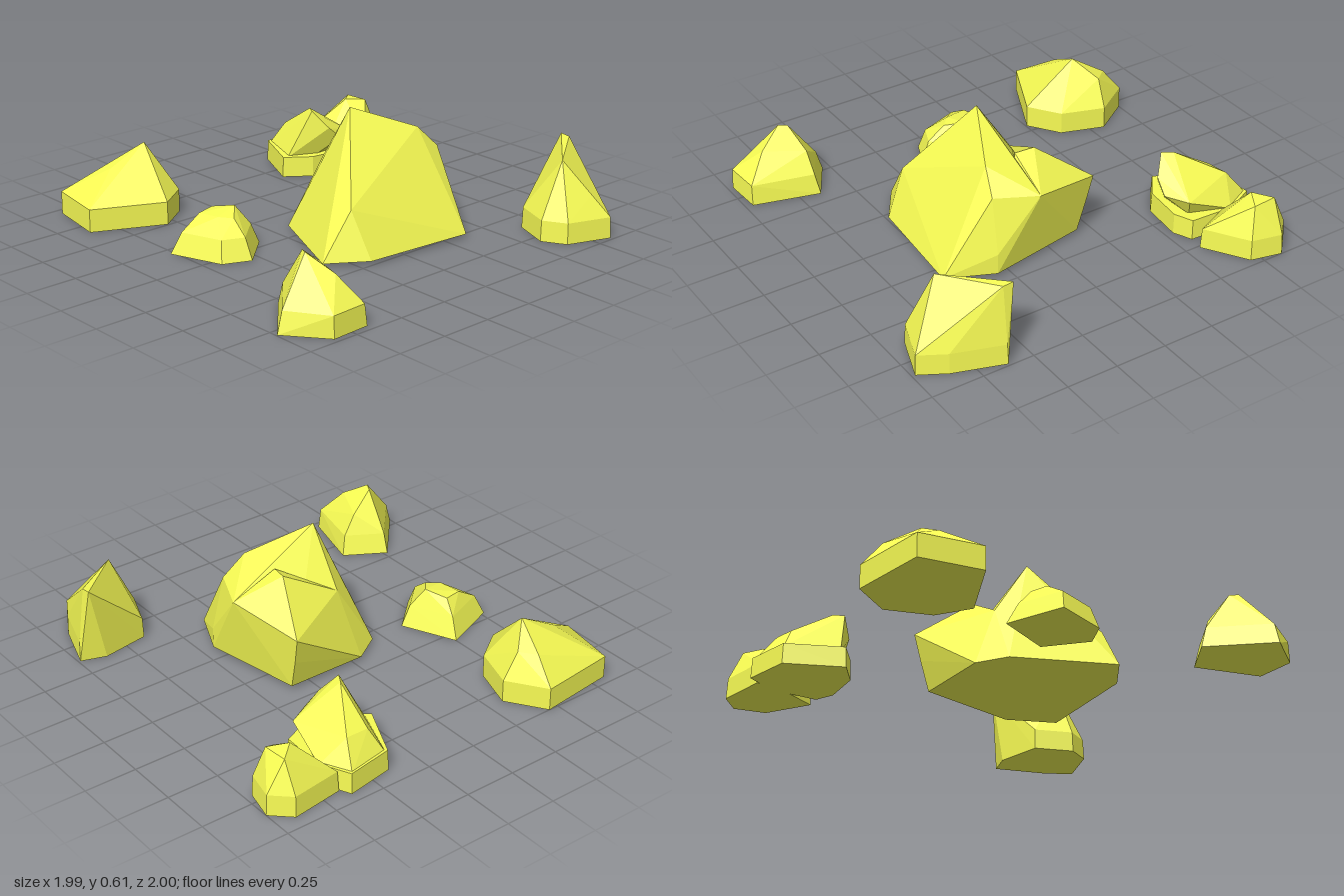
import * as THREE from 'three';
import { ConvexGeometry } from 'three/addons/geometries/ConvexGeometry.js';

const stone = new THREE.MeshStandardMaterial({ color: 0xf8fc54, flatShading: true });

function hull(name, points) {
  const mesh = new THREE.Mesh(new ConvexGeometry(points.map((p) => new THREE.Vector3(...p))), stone);
  mesh.name = name;
  return mesh;
}

// A faceted stone: ground outline [x, z], the same outline drawn in at rim height, then crown points
function rock(name, { outline, rim = 0.1, inset = 0.96, crown = [] }) {
  const cx = outline.reduce((s, p) => s + p[0], 0) / outline.length;
  const cz = outline.reduce((s, p) => s + p[1], 0) / outline.length;
  const points = [...crown];
  for (const [x, z] of outline) {
    points.push([x, 0, z], [cx + (x - cx) * inset, rim, cz + (z - cz) * inset]);
  }
  return hull(name, points);
}

// Large central boulder: three lobes that meet in a valley behind the summit
function createBoulder() {
  const peak = [0.14, 0.605, 0];
  const valley = [0.125, 0.42, -0.28];
  const back = [0.11, 0.37, -0.475];
  const frontLeft = [0.4, 0.24, 0.23];
  const frontRight = [-0.04, 0.33, 0];
  const footRight = [-0.08, 0.02, 0.18];
  const footFront = [0.38, 0.02, 0.38];
  const footLeft = [0.5, 0.02, 0.2];
  const footBackLeft = [0.545, 0.02, -0.35];
  const footBack = [0.32, 0.02, -0.45];
  const footBackRight = [-0.17, 0.02, -0.36];
  const footSide = [-0.17, 0.02, 0.04];

  const boulder = new THREE.Group();
  boulder.name = 'boulder';
  boulder.add(
    hull('boulderSummit', [peak, valley, back, frontLeft, frontRight, footRight, footFront, footLeft,
      footBackLeft, footBack, footBackRight, footSide]),
    hull('boulderLeftLobe', [peak, valley, back, [0.28, 0.485, -0.29], [0.31, 0.38, -0.39], [0.32, 0.12, -0.45],
      frontLeft, footFront, footLeft, footBackLeft, footBack]),
    hull('boulderRightLobe', [[0.01, 0.48, -0.27], [0.1, 0.47, -0.25], valley, back, frontRight, [-0.24, 0.3, -0.38],
      [-0.21, 0.17, -0.37], footRight, footSide, footBackRight]),
  );
  return boulder;
}

export function createModel() {
  const group = new THREE.Group();
  group.name = 'rockCluster';
  group.add(createBoulder());

  // Front rocks
  group.add(rock('frontRightRock', {
    outline: [[-1, 0.45], [-0.82, 0.33], [-0.61, 0.4], [-0.505, 0.55], [-0.66, 0.88], [-0.955, 0.83]],
    rim: 0.11,
    inset: 1,
    crown: [[-0.74, 0.335, 0.5], [-0.9, 0.235, 0.46], [-0.83, 0.24, 0.4], [-0.84, 0.24, 0.54], [-0.76, 0.24, 0.68]],
  }));
  group.add(rock('frontMiddleRock', {
    outline: [[-0.31, 0.5], [-0.05, 0.38], [0.105, 0.55], [0.05, 0.68], [-0.2, 0.77]],
    inset: 0.78,
    crown: [[-0.2, 0.17, 0.53], [-0.1, 0.19, 0.48], [-0.02, 0.165, 0.55], [-0.18, 0.165, 0.62], [-0.07, 0.17, 0.6]],
  }));
  group.add(rock('frontLeftRock', {
    outline: [[0.535, 0.77], [0.65, 0.575], [0.965, 0.66], [0.975, 0.85], [0.79, 0.995]],
    inset: 0.88,
    crown: [[0.7, 0.29, 0.78], [0.74, 0.295, 0.8], [0.86, 0.22, 0.74], [0.67, 0.2, 0.66], [0.97, 0.1, 0.85],
      [0.96, 0.1, 0.67], [0.79, 0.1, 0.965]],
  }));

  // Back rocks
  group.add(rock('backLeftRock', {
    outline: [[0.58, -0.87], [0.62, -0.99], [0.86, -0.91], [0.985, -0.84], [0.91, -0.63], [0.8, -0.57], [0.62, -0.64]],
    inset: 0.98,
    crown: [[0.57, 0.38, -0.95], [0.62, 0.375, -0.95], [0.8, 0.36, -0.7], [0.91, 0.2, -0.78]],
  }));

  // Back right rock: low plinth with an overhanging top
  const backRight = new THREE.Group();
  backRight.name = 'backRightRock';
  backRight.add(
    rock('backRightPlinth', {
      outline: [[-0.95, -0.63], [-0.91, -0.4], [-0.65, -0.28], [-0.56, -0.4], [-0.54, -0.6], [-0.58, -0.69], [-0.8, -0.7]],
      inset: 0.98,
    }),
    hull('backRightTop', [[-0.59, 0.325, -0.42], [-0.64, 0.325, -0.45], [-0.53, 0.24, -0.48], [-0.52, 0.18, -0.55],
      [-0.84, 0.2, -0.46], [-0.85, 0.21, -0.58], [-0.58, 0.18, -0.66], [-0.94, 0.09, -0.62], [-0.9, 0.09, -0.41],
      [-0.66, 0.09, -0.32], [-0.6, 0.09, -0.45], [-0.61, 0.09, -0.62], [-0.8, 0.09, -0.69]]),
  );
  group.add(backRight);

  group.add(rock('farBackRightRock', {
    outline: [[-0.935, -0.91], [-0.85, -1], [-0.7, -0.965], [-0.57, -0.76], [-0.75, -0.68], [-0.9, -0.66]],
    inset: 0.97,
    crown: [[-0.86, 0.25, -0.91], [-0.74, 0.25, -0.92], [-0.79, 0.26, -0.83], [-0.69, 0.2, -0.85]],
  }));

  return group;
}
